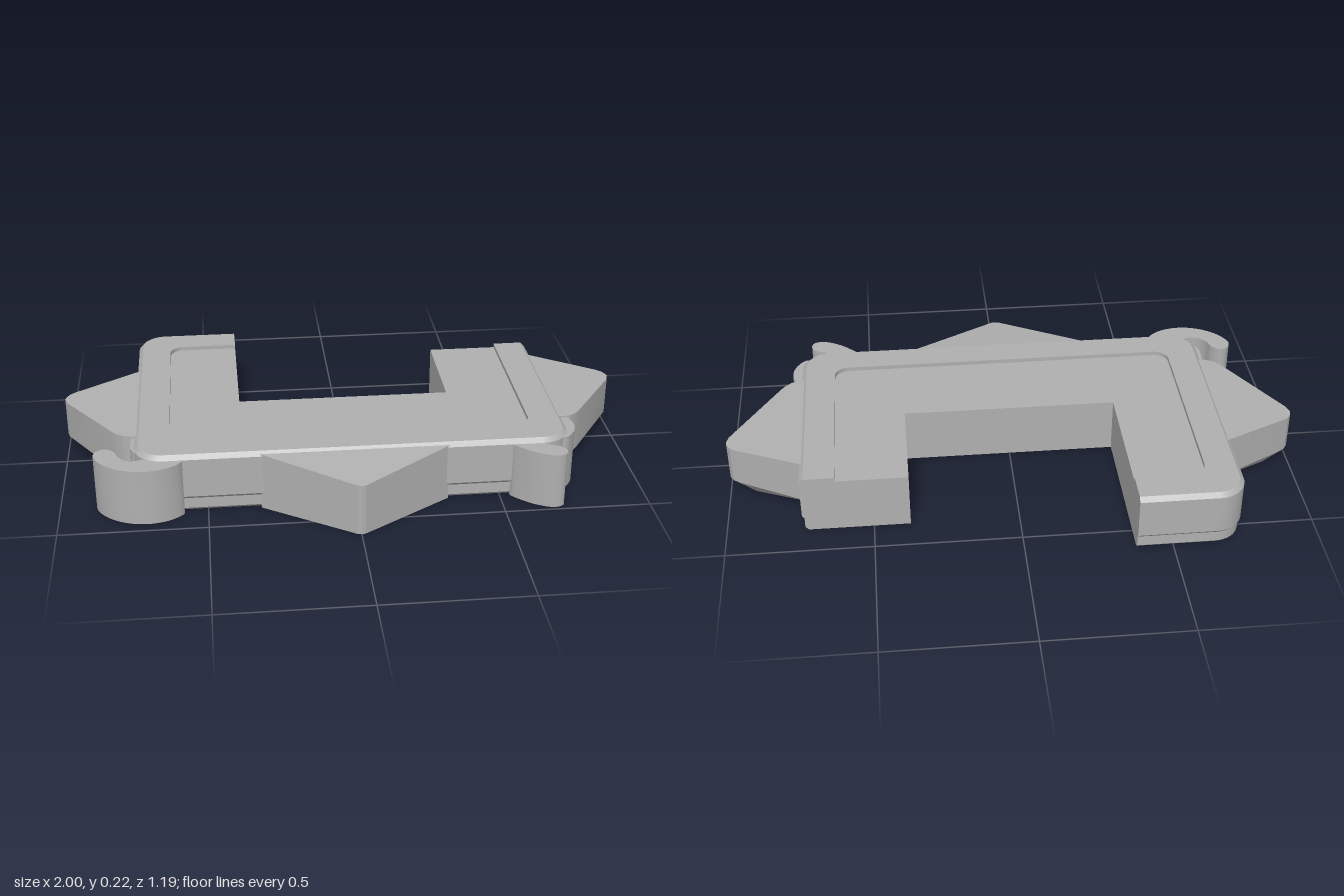
import * as THREE from 'three';
import { toCreasedNormals } from 'three/addons/utils/BufferGeometryUtils.js';
import { ConvexGeometry } from 'three/addons/geometries/ConvexGeometry.js';

const WALL = 0.12; // width of the raised border
const FLOOR = 0.2; // height of the recessed floor
const ARM = 0.375; // inner edge of both arms

// Outer edge of the U, moved inward by d, as [x, z] points
function outerPath(d) {
  const X = 0.742 - d, front = 0.395 - d, back = -0.6 + d;
  const r = Math.max(0.05, 0.1 - d);
  const pts = [[X, -0.39]];
  const corners = [[X - r, front - r, 0], [-X + r, front - r, 1], [-X + r, back + r, 2]];
  for (const [cx, cz, quarter] of corners) {
    for (let i = 0; i <= 10; i++) {
      const a = (quarter + i / 10) * Math.PI / 2;
      pts.push([cx + r * Math.cos(a), cz + r * Math.sin(a)]);
    }
  }
  pts.push([-ARM, back]);
  return pts;
}

// Sweep a closed [inset, height] profile along the outer edge, with end caps
function sweepBorder(profile) {
  const rings = profile.map(([d, y]) => outerPath(d).map(([x, z]) => [x, y, z]));
  const n = profile.length, last = rings[0].length - 1, pos = [];
  const tri = (a, b, c) => pos.push(...a, ...b, ...c);
  for (let j = 0; j < n; j++) {
    const A = rings[j], B = rings[(j + 1) % n];
    for (let i = 0; i < last; i++) {
      tri(A[i], B[i], A[i + 1]);
      tri(B[i], B[i + 1], A[i + 1]);
    }
  }
  const flat = profile.map(([d, y]) => new THREE.Vector2(-d, y));
  for (const [a, b, c] of THREE.ShapeUtils.triangulateShape(flat, [])) {
    tri(rings[a][0], rings[c][0], rings[b][0]);
    tri(rings[a][last], rings[b][last], rings[c][last]);
  }
  const g = new THREE.BufferGeometry();
  g.setAttribute('position', new THREE.Float32BufferAttribute(pos, 3));
  return toCreasedNormals(g, 0.4);
}

// Extrude a plan outline of [x, z] points upward from the ground
function extrudePlan(points, height, curved) {
  const p = points.map(([x, z]) => new THREE.Vector2(x, -z));
  const outline = curved
    ? new THREE.CatmullRomCurve3(p.map(v => new THREE.Vector3(v.x, v.y, 0)), true)
      .getPoints(60).slice(0, -1).map(v => new THREE.Vector2(v.x, v.y))
    : p;
  const g = new THREE.ExtrudeGeometry(new THREE.Shape(outline), { depth: height, bevelEnabled: false });
  g.rotateX(-Math.PI / 2);
  return toCreasedNormals(g, 0.5);
}

const hull = points => toCreasedNormals(
  new ConvexGeometry(points.map(p => new THREE.Vector3(...p))), 0.35);

export function createModel() {
  const model = new THREE.Group();
  model.name = 'uShapedTray';
  const grey = new THREE.MeshStandardMaterial({ color: 0xb0b0b0 });
  grey.name = 'grey';
  const add = (name, geometry) => {
    const mesh = new THREE.Mesh(geometry, grey);
    mesh.name = name;
    model.add(mesh);
  };

  // Border with bottom chamfer, lower step, top chamfer and raised rim
  add('border', sweepBorder([
    [0.02, 0], [0.008, 0.012], [0.008, 0.05], [0, 0.06],
    [0, 0.2], [0.015, 0.215], [WALL, 0.215], [WALL, 0],
  ]));

  // Recessed floor inside the border
  add('floor', extrudePlan(
    [...outerPath(WALL), [-ARM, -0.02], [ARM, -0.02], [ARM, -0.39]], FLOOR));

  // Pointed front wedge, sloping down to its tip
  const frontPlan = [[-0.32, 0.36], [-0.32, 0.39], [-0.025, 0.583], [-0.013, 0.591], [0, 0.594],
    [0.013, 0.591], [0.025, 0.583], [0.32, 0.39], [0.32, 0.36]];
  add('frontWedge', hull(frontPlan.flatMap(([x, z]) =>
    [[x, 0, z], [x, 0.206 - (z - 0.39) * 0.112, z]])));

  // Side wedges with sloping tops and tapered undersides
  const sidePlan = [[0.72, -0.302], [0.965, -0.172], [0.985, -0.157], [0.997, -0.137], [1, -0.12],
    [0.992, -0.092], [0.82, 0.17], [0.805, 0.19], [0.78, 0.21], [0.75, 0.219], [0.72, 0.22]];
  const sideFoot = [[0.72, -0.19], [0.91, -0.16], [0.935, -0.13], [0.72, 0.08]];
  for (const [name, s] of [['leftWedge', 1], ['rightWedge', -1]]) {
    add(name, hull([
      ...sidePlan.flatMap(([x, z]) =>
        [[s * x, 0.052, z], [s * x, 0.208 - (x - 0.72) * 0.068, z]]),
      ...sideFoot.map(([x, z]) => [s * x, 0, z]),
    ]));
  }

  // Curled hooks and rounded bumps at the front corners
  add('rightHook', extrudePlan([
    [-0.877, 0.335], [-0.862, 0.3], [-0.832, 0.293], [-0.807, 0.315], [-0.79, 0.355],
    [-0.755, 0.383], [-0.7, 0.375], [-0.6, 0.37], [-0.58, 0.4], [-0.63, 0.443],
    [-0.71, 0.459], [-0.79, 0.438], [-0.85, 0.39],
  ], FLOOR, true));
  add('leftHook', extrudePlan([
    [0.535, 0.385], [0.57, 0.43], [0.62, 0.468], [0.67, 0.487], [0.703, 0.477],
    [0.71, 0.448], [0.694, 0.424], [0.66, 0.408], [0.635, 0.385], [0.58, 0.365],
  ], FLOOR, true));
  add('leftBump', extrudePlan([
    [0.7, 0.21], [0.75, 0.205], [0.772, 0.235], [0.776, 0.28], [0.762, 0.325],
    [0.73, 0.36], [0.7, 0.35],
  ], FLOOR, true));
  add('rightBump', extrudePlan([
    [-0.7, 0.21], [-0.745, 0.22], [-0.755, 0.265], [-0.746, 0.315], [-0.7, 0.34],
  ], FLOOR, true));

  return model;
}
